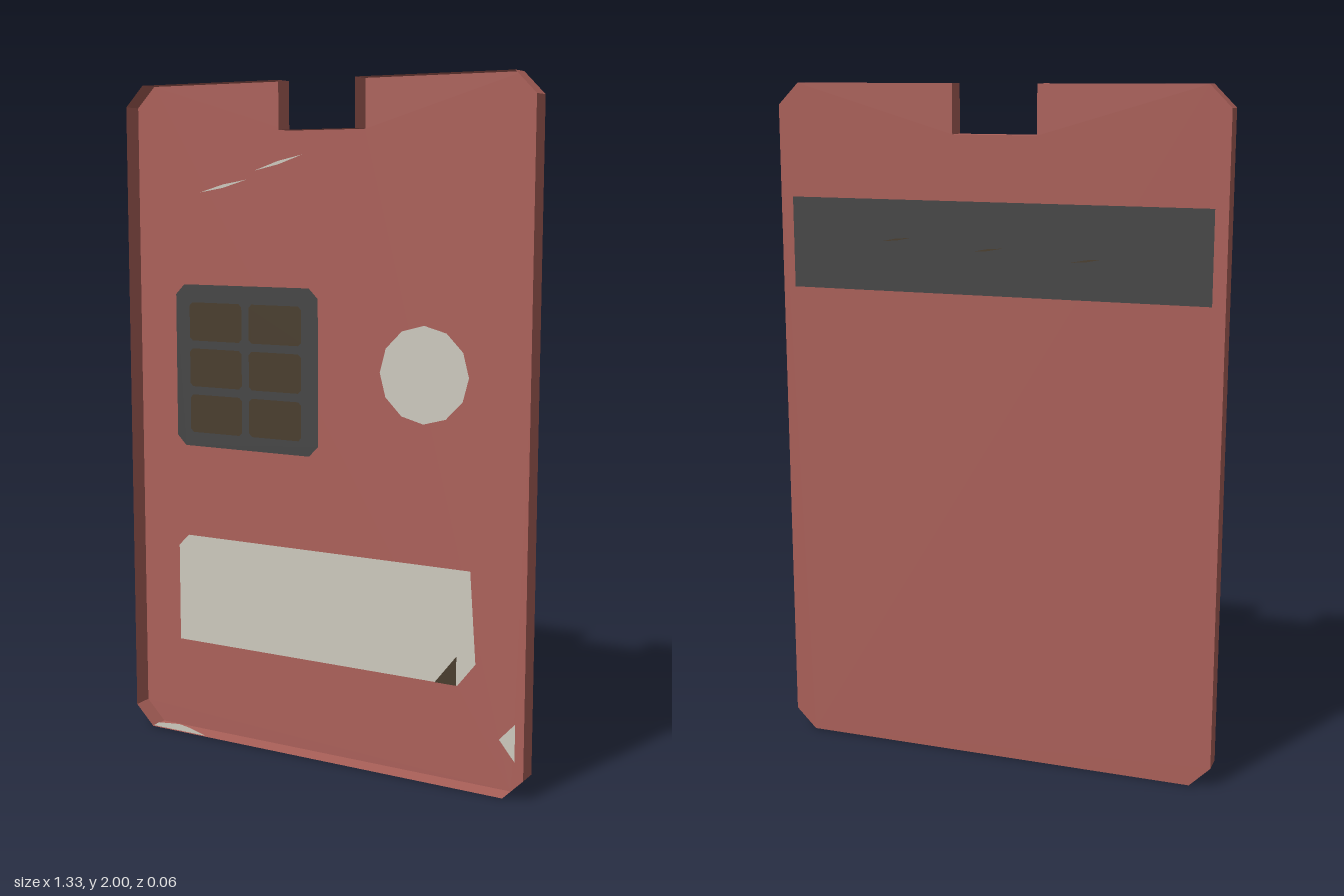
import * as THREE from 'three';

const mat = (name, color) => new THREE.MeshStandardMaterial({ name, color, side: THREE.DoubleSide });

export function createModel() {
  const red = mat('card red', 0xac615a);
  const cream = mat('paper cream', 0xcecabf);
  const charcoal = mat('charcoal', 0x464646);
  const brown = mat('dark brown', 0x4a3e2e);

  const card = new THREE.Group();
  card.name = 'accessCard';
  const T = 0.03; // half thickness

  const add = (name, geometry, material) => {
    const mesh = new THREE.Mesh(geometry, material);
    mesh.name = name;
    card.add(mesh);
    return mesh;
  };
  const flat = (points) => new THREE.ShapeGeometry(new THREE.Shape(points.map(([x, y]) => new THREE.Vector2(x, y))));
  // Flat painted detail on the front
  const decal = (name, points, material, z = T) => {
    add(name, flat(points), material).position.z = z;
  };
  // Rectangle with clipped corners
  const clipped = (x0, y0, x1, y1, c) => [
    [x0 + c, y0], [x1 - c, y0], [x1, y0 + c], [x1, y1 - c],
    [x1 - c, y1], [x0 + c, y1], [x0, y1 - c], [x0, y0 + c],
  ];
  // Thin stroke between two points
  const stroke = (x0, y0, x1, y1, w) => {
    const mx = (x0 + x1) / 2, my = (y0 + y1) / 2;
    return [[x0, y0], [mx, my - w], [x1, y1], [mx, my + w]];
  };

  // Card outline with clipped corners and a lanyard notch
  const outline = clipped(-0.665, 0, 0.665, 2, 0.062);
  outline.splice(5, 0, [0.125, 2], [0.125, 1.86], [-0.125, 1.86], [-0.125, 2]);

  // Back plate, facing -z (the outline is symmetric in x)
  const back = flat(outline);
  back.rotateY(Math.PI);
  add('backPlate', back, red).position.z = -T;

  // Rim walls, open at the front
  const pos = [];
  outline.forEach(([ax, ay], i) => {
    const [bx, by] = outline[(i + 1) % outline.length];
    pos.push(ax, ay, -T, bx, by, -T, bx, by, T, ax, ay, -T, bx, by, T, ax, ay, T);
  });
  const rim = new THREE.BufferGeometry();
  rim.setAttribute('position', new THREE.Float32BufferAttribute(pos, 3));
  rim.computeVertexNormals();
  add('rim', rim, red);

  // Chip with six contact pads
  decal('chip', clipped(-0.49, 0.92, 0.005, 1.41, 0.03), charcoal);
  for (const [x0, x1] of [[-0.44, -0.255], [-0.23, -0.05]]) {
    for (const y of [0.963, 1.103, 1.242]) {
      decal('chipPad', clipped(x0, y, x1, y + 0.115, 0.01), brown, T + 0.002);
    }
  }

  // Round sticker
  add('roundSticker', new THREE.CircleGeometry(0.138, 12), cream).position.set(0.345, 1.18, T);

  // Paper label with a torn corner and a dark fold
  decal('label', [[-0.49, 0.305], [0.46, 0.305], [0.515, 0.375], [0.495, 0.64], [-0.455, 0.64], [-0.49, 0.605]], cream);
  decal('labelFold', [[0.39, 0.305], [0.457, 0.305], [0.457, 0.39]], brown, T + 0.002);

  // Wear chips and scratches on the front
  decal('sideWear', [[0.59, 0.17], [0.638, 0.112], [0.638, 0.222]], cream);
  decal('bottomWear', [[-0.6, 0.003], [-0.4, 0.003], [-0.46, 0.018], [-0.5, 0.024], [-0.58, 0.016]], cream);
  decal('scratch', stroke(-0.4, 1.683, -0.235, 1.72, 0.005), cream);
  decal('scratch', stroke(-0.21, 1.745, -0.045, 1.79, 0.005), cream);

  // Magnetic stripe on the back, with three fine scratches
  const stripe = new THREE.PlaneGeometry(1.255, 0.265);
  stripe.rotateY(Math.PI);
  add('magneticStripe', stripe, charcoal).position.set(0, 1.542, -T - 0.001);
  for (const [x, y] of [[0.3, 1.56], [0.02, 1.54], [-0.27, 1.52]]) {
    const mark = flat(stroke(-0.045, -0.006, 0.045, 0.006, 0.003));
    mark.rotateY(Math.PI);
    add('stripeScratch', mark, brown).position.set(x, y, -T - 0.002);
  }
  return card;
}
